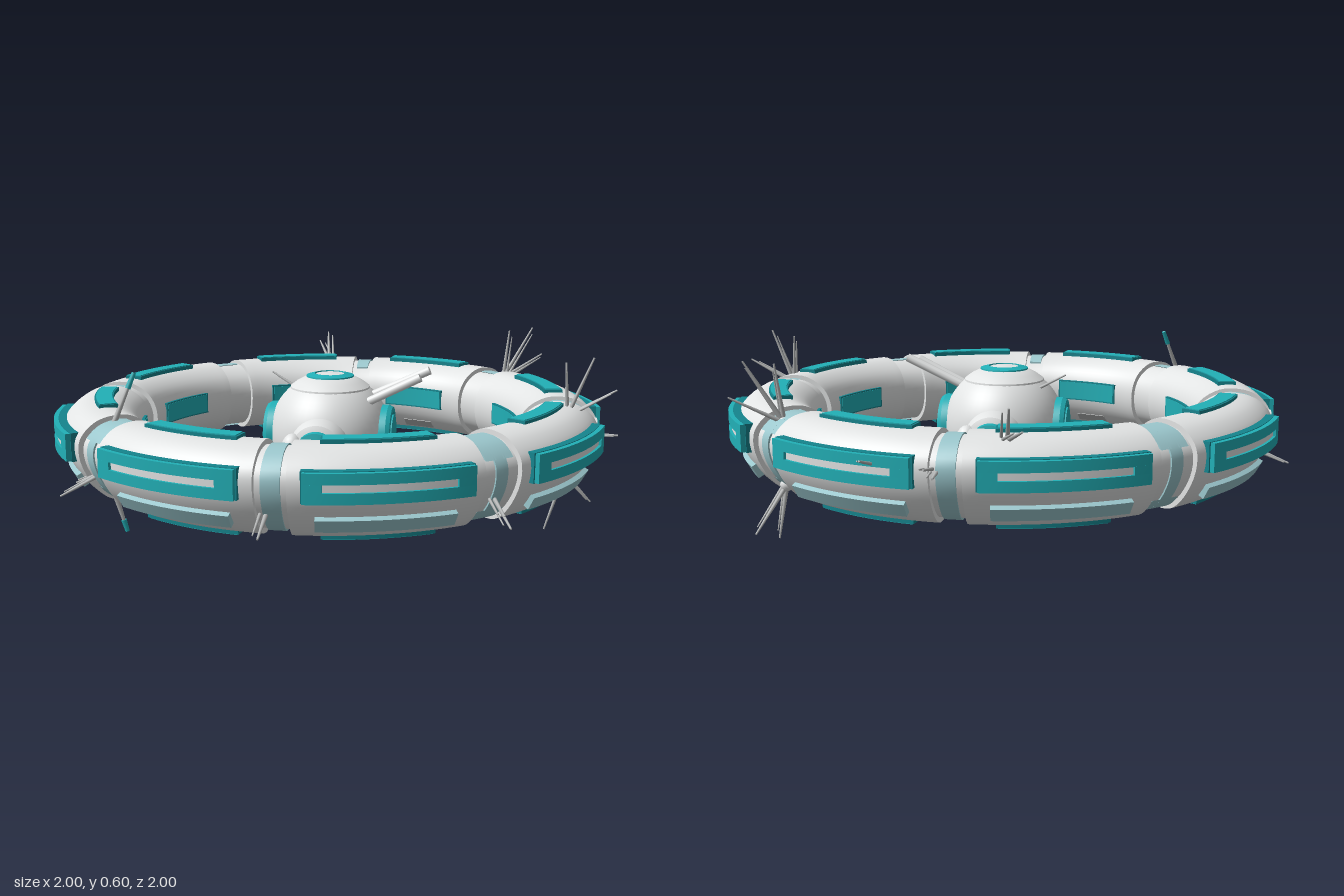
import * as THREE from 'three';
import { toCreasedNormals } from 'three/addons/utils/BufferGeometryUtils.js';

const mat = (name, color) => Object.assign(new THREE.MeshStandardMaterial({ color }), { name });
const V = (x, y, z) => new THREE.Vector3(x, y, z);
const DEG = Math.PI / 180;

// Sweep a closed, convex (radius, y) section around the y axis from a0 to a1 (degrees, 0 = +z), with end caps
function sweep(section, a0, a1) {
  const steps = Math.max(2, Math.ceil((a1 - a0) / 2.5)), n = section.length;
  const pos = [], idx = [];
  for (let i = 0; i <= steps; i++) {
    const a = (a0 + (a1 - a0) * i / steps) * DEG;
    for (const p of section) pos.push(p.x * Math.sin(a), p.y, p.x * Math.cos(a));
  }
  for (let i = 0; i < steps; i++) {
    for (let j = 0; j < n; j++) {
      const k = (j + 1) % n, A = i * n + j, B = A + n, C = (i + 1) * n + k, D = i * n + k;
      idx.push(A, B, C, A, C, D);
    }
  }
  for (let j = 1; j < n - 1; j++) {
    const e = steps * n;
    idx.push(0, j, j + 1, e, e + j + 1, e + j);
  }
  const g = new THREE.BufferGeometry();
  g.setAttribute('position', new THREE.Float32BufferAttribute(pos, 3));
  g.setIndex(idx);
  return toCreasedNormals(g, 0.6);
}

// Rectangular section centred at (r, y), facing the direction tilt (degrees from outward)
function plate(r, y, width, thick, tilt) {
  const c = Math.cos(tilt * DEG), s = Math.sin(tilt * DEG);
  return [[-1, -1], [1, -1], [1, 1], [-1, 1]].map(([a, b]) => new THREE.Vector2(
    r + c * a * thick / 2 - s * b * width / 2,
    y + s * a * thick / 2 + c * b * width / 2));
}

export function createModel() {
  const model = new THREE.Group();
  model.name = 'ringStation';
  const hull = mat('hullGrey', 0xe2e4e4), teal = mat('teal', 0x22b0b7), deep = mat('deepTeal', 0x15858e);
  const pale = mat('paleBlue', 0x9cc8ce), metal = mat('antennaGrey', 0xb4b6b6);

  const add = (parent, name, geo, material) => {
    const m = new THREE.Mesh(geo, material);
    m.name = name;
    parent.add(m);
    return m;
  };
  const group = (parent, name) => {
    const g = new THREE.Group();
    g.name = name;
    parent.add(g);
    return g;
  };
  const rod = (parent, name, from, to, r0, r1, material) => {
    const dir = to.clone().sub(from);
    const m = add(parent, name, new THREE.CylinderGeometry(r1, r0, dir.length(), 10), material);
    m.position.copy(from).add(to).multiplyScalar(0.5);
    m.quaternion.setFromUnitVectors(V(0, 1, 0), dir.normalize());
  };

  // Ring cross-section
  const profile = new THREE.CatmullRomCurve3([
    [0.667, 0.34], [0.667, 0.27], [0.695, 0.21], [0.76, 0.165], [0.83, 0.165], [0.885, 0.21], [0.932, 0.30],
    [0.932, 0.37], [0.885, 0.42], [0.83, 0.438], [0.76, 0.435], [0.695, 0.395],
  ].map(([r, y]) => V(r, y, 0)), true).getPoints(48).slice(0, 48).map(p => new THREE.Vector2(p.x, p.y));
  const shrink = k => profile.map(p => new THREE.Vector2(0.8 + (p.x - 0.8) * k, 0.305 + (p.y - 0.305) * k));

  // Inner core showing in the joints
  const ring = group(model, 'ring');
  add(ring, 'ringCore', sweep(shrink(0.88), 0, 360), hull);

  // Eight joints: narrow bands front and back, top and bottom plates at the sides, both on the diagonals
  const jointAngle = i => i * 45 + [0, -1.5, 0, 1.5][i % 4];
  const jointHalf = i => (i % 2 ? 4.2 : 3);
  const strip = (i, half, keep) =>
    add(ring, 'jointStrip', sweep(shrink(0.92).filter(keep), jointAngle(i) - half, jointAngle(i) + half), pale);
  for (let i = 0; i < 8; i++) {
    if (i % 4 === 0) strip(i, 1.8, p => p.x > 0.72);
    else {
      const half = i % 2 ? 3.3 : 2.5;
      strip(i, half, p => p.x > 0.765 && p.y > 0.37);
      strip(i, half, p => p.x > 0.765 && p.y < 0.235);
      if (i % 2) strip(i, 1.4, p => p.x > 0.8);
      else add(ring, 'jointBlock', sweep(plate(0.9, 0.32, 0.1, 0.07, 0), jointAngle(i) - 2.6, jointAngle(i) + 2.6), hull);
    }
  }

  // Eight hull segments; panel angles are measured from the nearest main axis
  for (let i = 0; i < 8; i++) {
    const seg = group(ring, 'ringSegment');
    add(seg, 'hullSegment', sweep(profile, jointAngle(i) + jointHalf(i), jointAngle(i + 1) - jointHalf(i + 1)), hull);
    const dir = i % 2 ? -1 : 1, axis = (i + i % 2) * 45;
    const outer = axis % 180 ? 24.4 : 21, flat = 20.7;
    const panel = (name, section, off, half, m) =>
      add(seg, name, sweep(section, axis + dir * off - half, axis + dir * off + half), m);

    // Outer window frame with a recessed slot
    panel('outerPanelBase', plate(0.928, 0.341, 0.094, 0.04, 0), outer, 15.5, deep);
    panel('outerSlot', plate(0.937, 0.341, 0.026, 0.036, 0), outer, 12.2, hull);
    for (const s of [-1, 1]) {
      panel('outerFrameBar', plate(0.942, 0.341 + s * 0.0285, 0.033, 0.044, 0), outer, 15.2, teal);
      panel('outerFrameEnd', plate(0.942, 0.341, 0.025, 0.044, 0), outer + s * 13.5, 1.7, teal);
    }
    // Top and bottom panels
    for (const [y, tilt] of [[0.437, 90], [0.164, -90]]) {
      panel('panelRim', plate(0.793, y, 0.064, 0.024, tilt), flat, 12.1, deep);
      panel('panelFace', plate(0.793, y + Math.sign(tilt) * 0.003, 0.054, 0.024, tilt), flat, 11.7, teal);
    }
    // Lower outer and inner panels
    panel('lowerPanel', plate(0.903, 0.222, 0.046, 0.02, -29), outer, 13.2, pale);
    panel('innerPanelRim', plate(0.67, 0.31, 0.078, 0.022, 180), flat, 11, deep);
    panel('innerPanelFace', plate(0.668, 0.31, 0.068, 0.022, 180), flat, 10.5, teal);
    panel('innerLowerPanel', plate(0.716, 0.199, 0.04, 0.02, -137), flat, 5, metal);
  }

  // Central sphere with raised polar caps
  const core = group(model, 'centralSphere');
  core.position.y = 0.29;
  add(core, 'sphere', new THREE.SphereGeometry(0.217, 48, 32), hull);
  const lathe = pts => toCreasedNormals(new THREE.LatheGeometry(pts.map(p => new THREE.Vector2(...p)), 40), 0.5);

  for (const s of [1, -1]) {
    const cap = group(core, 'polarCap');
    cap.rotation.x = s > 0 ? 0 : Math.PI;
    add(cap, 'capShell', lathe([[0.143, 0.155], [0.141, 0.17], [0.117, 0.188], [0.085, 0.204], [0, 0.206]]), hull);
    add(cap, 'capRing', lathe([[0.086, 0.195], [0.084, 0.209], [0.055, 0.216], [0.052, 0.2]]), teal);
    add(cap, 'capCentre', lathe([[0.053, 0.2], [0.05, 0.213], [0, 0.217]]), hull);

    // Large side discs
    const disc = group(core, 'sideDisc');
    disc.rotation.z = -s * Math.PI / 2;
    add(disc, 'discRim', lathe([[0.106, 0.18], [0.106, 0.212], [0.098, 0.226], [0.082, 0.228], [0.079, 0.215]]), teal);
    add(disc, 'discWell', lathe([[0.085, 0.212], [0.085, 0.221], [0.068, 0.221]]), deep);
    add(disc, 'discFace', lathe([[0.073, 0.21], [0.071, 0.231], [0.03, 0.236], [0, 0.236]]), teal);

    // Docking pods with side lobes, front and back
    const pod = group(core, 'dockingPod');
    pod.rotation.x = s * Math.PI / 2;
    pod.position.y = -0.015;
    add(pod, 'podBase', lathe([[0.105, 0.17], [0.103, 0.22], [0.09, 0.25], [0.06, 0.262], [0, 0.262]]), hull);
    for (const x of [-1, 1]) {
      const lobe = add(pod, 'podLobe', new THREE.SphereGeometry(0.04, 20, 14), hull);
      lobe.position.set(x * 0.085, 0.247, 0);
      lobe.scale.set(1, 0.95, 1.5);
    }
    add(pod, 'podRing', lathe([[0.072, 0.24], [0.07, 0.284], [0.04, 0.289], [0.037, 0.27]]), teal);
    add(pod, 'podHub', lathe([[0.04, 0.25], [0.036, 0.28], [0.025, 0.294], [0, 0.296]]), hull);
    rod(pod, 'podMast', V(0, 0.28, 0), V(0, 0.445, 0), 0.013, 0.013, metal);
  }

  // Thick booms on the sphere
  for (const [a, b] of [
    [[0.13, 0.13, 0], [0.355, 0.235, 0]], [[0.13, 0.12, 0.07], [0.33, 0.22, 0.07]],
    [[-0.12, -0.12, 0.07], [-0.335, -0.205, 0.07]], [[-0.12, -0.12, -0.075], [-0.335, -0.205, -0.075]],
  ]) rod(core, 'boom', V(...a), V(...b), 0.015, 0.015, hull);
  rod(core, 'whisker', V(-0.12, 0.14, -0.06), V(-0.23, 0.2, -0.08), 0.006, 0.003, metal);

  // Antenna clusters at the joints: base, then tips
  const clusters = [
    [[0.59, 0.4, -0.62], [0.61, 0.59, -0.64], [0.7, 0.6, -0.67], [0.74, 0.49, -0.7]],
    [[0.59, 0.2, -0.62], [0.61, 0.03, -0.65], [0.66, 0.06, -0.72]],
    [[0.83, 0.4, 0.1], [0.91, 0.6, 0.1], [0.82, 0.58, 0.09], [0.99, 0.49, 0.08]],
    [[0.83, 0.2, 0.1], [0.768, 0, 0.1], [0.92, 0.1, 0.08]],
    [[0.88, 0.34, 0.09], [1, 0.34, 0.1]],
    [[-0.16, 0.42, -0.83], [-0.23, 0.48, -0.99], [-0.18, 0.53, -0.92]],
    [[0.03, 0.34, -0.87], [0.02, 0.34, -1], [0.05, 0.36, -0.98]],
    [[0.19, 0.34, -0.88], [0.23, 0.38, -0.99]],
    [[-0.02, 0.25, 0.87], [-0.02, 0.2, 0.995]],
    [[-0.87, 0.26, -0.08], [-0.995, 0.21, -0.08]],
    [[-0.61, 0.27, 0.6], [-0.74, 0.2, 0.68], [-0.71, 0.23, 0.62]],
    [[0.6, 0.27, 0.62], [0.67, 0.21, 0.8], [0.65, 0.23, 0.75]],
  ];
  for (const [base, ...tips] of clusters) {
    const g = group(model, 'antennaCluster');
    const from = V(...base);
    add(g, 'antennaBase', new THREE.SphereGeometry(0.022, 14, 10), hull).position.copy(from);
    for (const tip of tips) {
      const to = V(...tip);
      rod(g, 'antenna', from, to, 0.008, 0.003, metal);
      const side = V(-from.z, 0, from.x).normalize().multiplyScalar(0.018);
      rod(g, 'antennaTwin', from.clone().add(side), to.clone().lerp(from, 0.12).add(side), 0.006, 0.002, metal);
    }
  }

  // Masts with coloured tips on one diagonal joint
  for (const [a, b] of [[[-0.6, 0.4, 0.58], [-0.54, 0.575, 0.52]], [[-0.6, 0.2, 0.58], [-0.565, 0.06, 0.565]]]) {
    const from = V(...a), to = V(...b);
    rod(model, 'signalMast', from, to, 0.01, 0.004, metal);
    rod(model, 'signalTip', from.clone().lerp(to, 0.72), to, 0.009, 0.007, teal);
  }
  return model;
}
